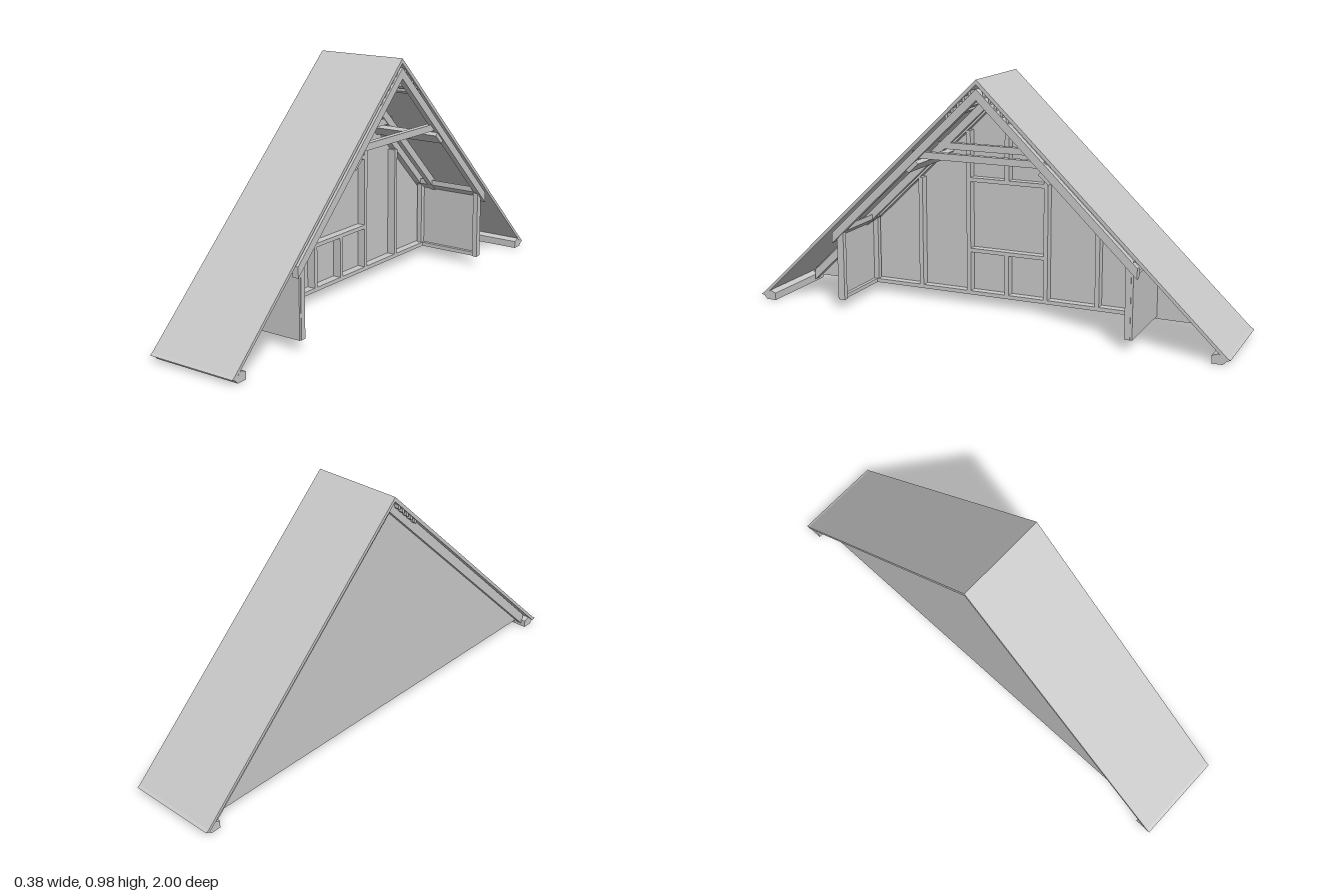
import * as THREE from 'three';

const SLOPE = 0.96;

export function createModel() {
  const model = new THREE.Group();
  model.name = 'atticSection';
  const grey = new THREE.MeshStandardMaterial({ color: 0xc8c8c8, side: THREE.DoubleSide });
  grey.name = 'plainGrey';

  const add = (name, geometry) => {
    const mesh = new THREE.Mesh(geometry, grey);
    mesh.name = name;
    model.add(mesh);
    return mesh;
  };
  // box given by its limits
  const box = (name, x0, x1, y0, y1, z0, z1) => {
    const g = new THREE.BoxGeometry(x1 - x0, y1 - y0, Math.abs(z1 - z0));
    g.translate((x0 + x1) / 2, (y0 + y1) / 2, (z0 + z1) / 2);
    return add(name, g);
  };
  // (z, y) outline carried along x
  const profile = (name, points, x0, x1) => {
    const shape = new THREE.Shape(points.map(([z, y]) => new THREE.Vector2(-z, y)));
    const g = new THREE.ExtrudeGeometry(shape, { depth: x1 - x0, bevelEnabled: false });
    g.rotateY(Math.PI / 2);
    g.translate(x0, 0, 0);
    return add(name, g);
  };
  // one sloping member per side, from z0 out to z1, between two apex heights
  const slopePair = (name, top, bottom, z0, z1, x0, x1) => {
    for (const s of [1, -1]) {
      profile(name, [
        [s * z0, top - SLOPE * z0], [s * z1, top - SLOPE * z1],
        [s * z1, bottom - SLOPE * z1], [s * z0, bottom - SLOPE * z0],
      ], x0, x1);
    }
  };

  // roof sheet with its eave lips
  profile('roof', [
    [0, 0.975], [0.988, 0.027], [1, 0.02], [0.984, 0.014],
    [0, 0.956], [-0.984, 0.014], [-1, 0.02], [-0.988, 0.027],
  ], -0.19, 0.19);

  // gable sheathing
  profile('gableWall', [[0, 0.95], [0.955, 0.03], [-0.955, 0.03]], -0.145, -0.135);

  // rafters: overhang, gable and open-end pairs
  slopePair('bargeRafter', 0.956, 0.905, 0, 0.94, -0.165, -0.146);
  slopePair('gableRafter', 0.94, 0.897, 0, 0.92, -0.135, -0.105);
  slopePair('innerRafter', 0.94, 0.897, 0, 0.645, -0.07, -0.045);
  slopePair('endRafter', 0.94, 0.897, 0, 0.645, 0.165, 0.191);

  // gable framing
  const fx0 = -0.135, fx1 = -0.1;
  box('bottomPlate', fx0, fx1, 0.04, 0.056, -0.62, 0.62);
  for (const z of [-0.39, -0.17, 0.17, 0.39]) {
    const h = 0.9 - SLOPE * (Math.abs(z) + 0.009);
    box('gableStud', fx0, fx1, 0.056, h, z - 0.009, z + 0.009);
  }
  box('lowerCripple', fx0, fx1, 0.056, 0.222, -0.009, 0.009);
  box('upperCripple', fx0, fx1, 0.535, 0.9, -0.009, 0.009);
  box('windowSill', fx0, fx1, 0.222, 0.238, -0.161, 0.161);
  box('windowHeader', fx0, fx1, 0.518, 0.535, -0.161, 0.161);

  // collar ties
  for (const x of [-0.06, 0.165]) box('collarTie', x - 0.012, x + 0.012, 0.655, 0.682, -0.28, 0.28);

  for (const s of [1, -1]) {
    // eave plate
    profile('eavePlate', [
      [s * 0.93, 0], [s * 0.972, 0], [s * 0.985, 0.014], [s * 0.955, 0.04], [s * 0.93, 0.03],
    ], -0.185, 0.19);

    // knee wall: outer panel, studs, plates
    box('kneePanel', -0.135, 0.18, 0.04, 0.34, s * 0.62, s * 0.628);
    for (const x of [-0.125, 0.16]) {
      box('kneeStud', x, x + 0.022, 0.04, 0.325, s * 0.598, s * 0.62);
    }
    box('kneeBottomPlate', -0.1, 0.18, 0.04, 0.056, s * 0.605, s * 0.62);
    profile('kneeTopPlate', [
      [s * 0.59, 0.33], [s * 0.59, 0.352], [s * 0.64, 0.304], [s * 0.64, 0.29],
    ], -0.135, 0.18);

    // purlin below the collar ties
    profile('purlin', [
      [s * 0.262, 0.646], [s * 0.278, 0.63], [s * 0.305, 0.605], [s * 0.292, 0.596], [s * 0.25, 0.634],
    ], -0.135, 0.185);
  }

  // battens near the ridge
  for (let i = 0; i < 5; i++) {
    const z = 0.025 + i * 0.024;
    slopePair('ridgeBatten', 0.956, 0.941, z, z + 0.01, -0.185, 0.185);
  }
  return model;
}
